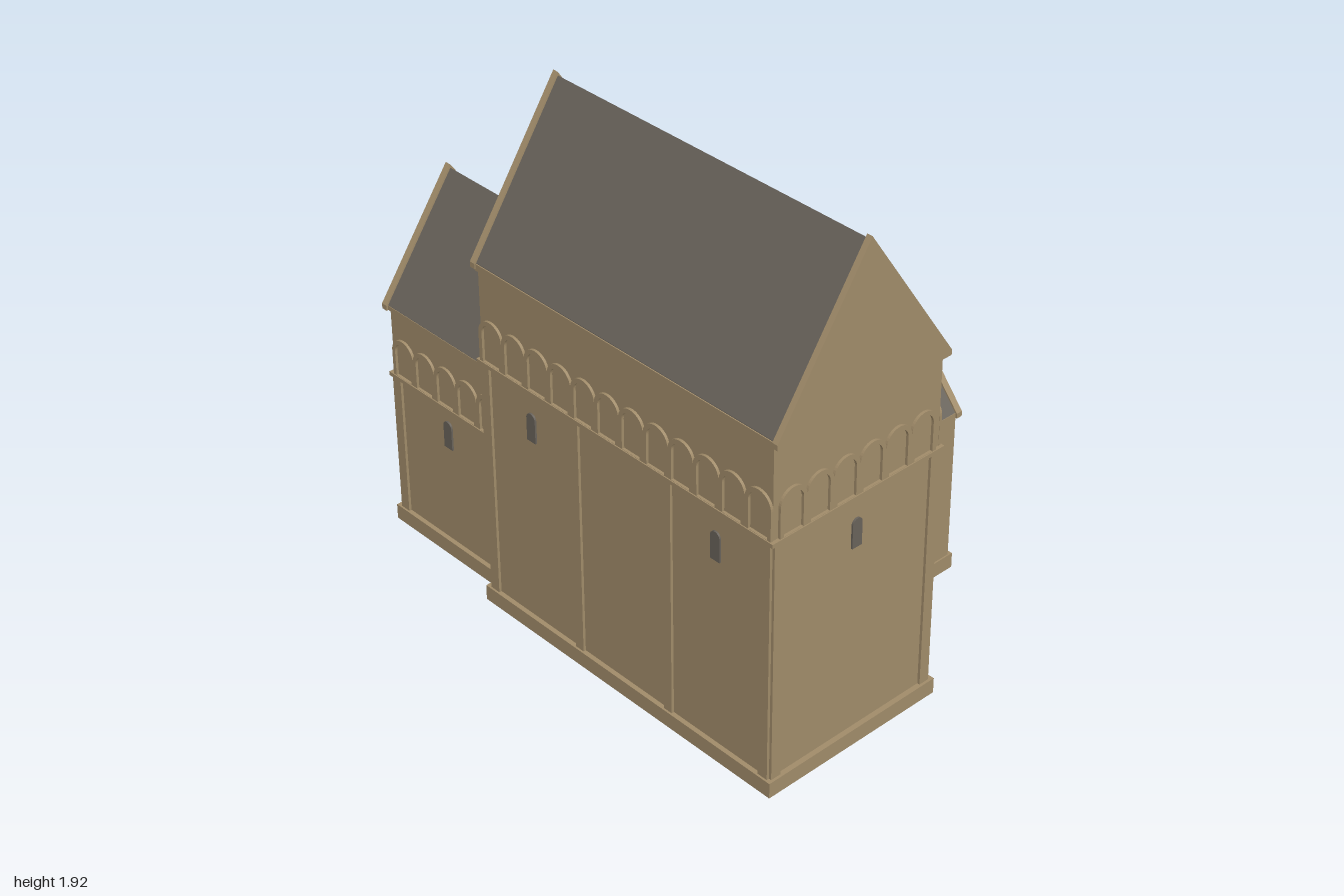
import * as THREE from 'three';

const stone = new THREE.MeshStandardMaterial({ color: 0xa08b69 });
stone.name = 'sandstone';
const slate = new THREE.MeshStandardMaterial({ color: 0x68625a });
slate.name = 'slate';

function add(parent, name, geometry, material = stone) {
  const mesh = new THREE.Mesh(geometry, material);
  mesh.name = name;
  parent.add(mesh);
  return mesh;
}

// Box given by its lower and upper limits on each axis
function box(parent, name, x0, x1, y0, y1, z0, z1, material) {
  const mesh = add(parent, name, new THREE.BoxGeometry(x1 - x0, y1 - y0, z1 - z0), material);
  mesh.position.set((x0 + x1) / 2, (y0 + y1) / 2, (z0 + z1) / 2);
  return mesh;
}

// Round-headed outline standing on y0, centred on x
function archOutline(path, x, y0, halfWidth, spring) {
  path.moveTo(x - halfWidth, y0);
  path.lineTo(x + halfWidth, y0);
  path.lineTo(x + halfWidth, spring);
  path.absarc(x, spring, halfWidth, 0, Math.PI, false);
  path.lineTo(x - halfWidth, y0);
  return path;
}

function extrude(shape, depth) {
  return new THREE.ExtrudeGeometry(shape, { depth, bevelEnabled: false, curveSegments: 10 });
}

// Arch-shaped plate, optionally with an arched opening
function arch(parent, name, x, y0, halfWidth, top, depth, material, innerHalf = 0) {
  const spring = top - halfWidth;
  const shape = archOutline(new THREE.Shape(), x, y0, halfWidth, spring);
  if (innerHalf) shape.holes.push(archOutline(new THREE.Path(), x, y0 + 0.001, innerHalf, spring));
  return add(parent, name, extrude(shape, depth), material);
}

// Wall frame: local x runs along the wall, local z points outwards
function wallFace(parent, name, x, z, angle) {
  const face = new THREE.Group();
  face.name = name;
  face.position.set(x, 0, z);
  face.rotation.y = angle;
  parent.add(face);
  return face;
}

// Row of blind arches resting on a string course
function arcade(face, halfLength, y, height, count) {
  box(face, 'stringCourse', -halfLength - 0.014, halfLength + 0.014, y - 0.015, y, -0.01, 0.014);
  const pitch = 0.1135;
  for (let i = 0; i < count; i++) {
    arch(face, 'blindArch', (i - (count - 1) / 2) * pitch, y, pitch / 2, y + height, 0.01, stone, 0.041);
  }
}

function pilasters(face, centres, width, top) {
  for (const x of centres) box(face, 'pilasterStrip', x - width / 2, x + width / 2, 0.05, top, -0.01, 0.01);
}

function windows(face, centres, bottom) {
  for (const x of centres) arch(face, 'window', x, bottom, 0.021, bottom + 0.11, 0.007, slate);
}

// Gabled roof along local z from z0 to z1; each entry of ends is a gable wall [z0, z1]
function gabledRoof(parent, half, base, peak, z0, z1, ends) {
  const triangle = (h, b, p, lip) => new THREE.Shape([
    new THREE.Vector2(-h, b - lip), new THREE.Vector2(h, b - lip), new THREE.Vector2(h, b),
    new THREE.Vector2(0, p), new THREE.Vector2(-h, b)]);
  add(parent, 'roof', extrude(triangle(half - 0.008, base, peak - 0.013, 0.004), z1 - z0), slate).position.z = z0;
  for (const [a, b] of ends) {
    add(parent, 'gableWall', extrude(triangle(half, base, peak, 0.02), b - a)).position.z = a;
  }
}

function group(parent, name, x, z, angle = 0) {
  return wallFace(parent, name, x, z, angle);
}

export function createModel() {
  const model = new THREE.Group();
  model.name = 'church';
  const right = Math.PI / 2;

  // Nave
  const nave = group(model, 'nave', -0.28, 0.295);
  box(nave, 'naveWalls', -0.3625, 0.3625, 0, 1.36, -0.68, 0.68);
  box(nave, 'navePlinth', -0.38, 0.38, 0, 0.06, -0.7, 0.7);
  box(nave, 'naveCornice', -0.37, 0.37, 1.34, 1.365, -0.687, 0.687);
  gabledRoof(nave, 0.374, 1.367, 1.925, -0.69, 0.69, [[-0.705, -0.683], [0.683, 0.705]]);

  const naveFront = wallFace(nave, 'naveFront', 0, 0.68, 0);
  pilasters(naveFront, [-0.342, 0.342], 0.041, 0.99);
  arcade(naveFront, 0.3625, 1.0, 0.168, 6);
  windows(naveFront, [0], 0.795);

  for (const side of [-1, 1]) {
    const face = wallFace(nave, 'naveSide', side * 0.3625, 0, side * right);
    pilasters(face, [-0.659, 0.659], 0.042, 0.99);
    pilasters(face, [-0.2175, 0.2175], 0.038, 0.99);
    arcade(face, 0.68, 1.0, 0.168, 12);
    windows(face, [-0.435, 0.435], 0.795);
  }

  // Chancel
  const chancel = group(model, 'chancel', -0.28, -0.677);
  box(chancel, 'chancelWalls', -0.295, 0.295, 0, 0.9, -0.291, 0.3);
  box(chancel, 'chancelPlinth', -0.312, 0.312, 0, 0.06, -0.311, 0.3);
  box(chancel, 'chancelCornice', -0.302, 0.302, 0.89, 0.907, -0.298, 0.3);
  gabledRoof(chancel, 0.308, 0.908, 1.345, -0.305, 0.3, [[-0.32, -0.296]]);

  const chancelBack = wallFace(chancel, 'chancelBack', 0, -0.291, Math.PI);
  arcade(chancelBack, 0.295, 0.635, 0.156, 5);
  windows(chancelBack, [0], 0.46);

  for (const side of [-1, 1]) {
    const face = wallFace(chancel, 'chancelSide', side * 0.295, 0, side * right);
    pilasters(face, [-0.27, 0.27], 0.042, 0.625);
    arcade(face, 0.291, 0.635, 0.156, 5);
    windows(face, [0], 0.46);
  }

  // Porch, local z pointing out through the door
  const porch = group(model, 'porch', 0.08, 0.292, right);
  box(porch, 'porchWalls', -0.275, 0.275, 0, 0.66, -0.01, 0.55);
  box(porch, 'porchPlinth', -0.281, 0.281, 0, 0.06, -0.01, 0.566);
  gabledRoof(porch, 0.281, 0.66, 0.995, -0.01, 0.56, [[0.55, 0.575]]);
  const doorway = wallFace(porch, 'doorway', 0, 0.55, 0);
  arch(doorway, 'doorSurround', 0, 0.06, 0.118, 0.43, 0.015, stone, 0.094);
  arch(doorway, 'door', 0, 0.06, 0.094, 0.406, 0.005, slate);

  return model;
}
